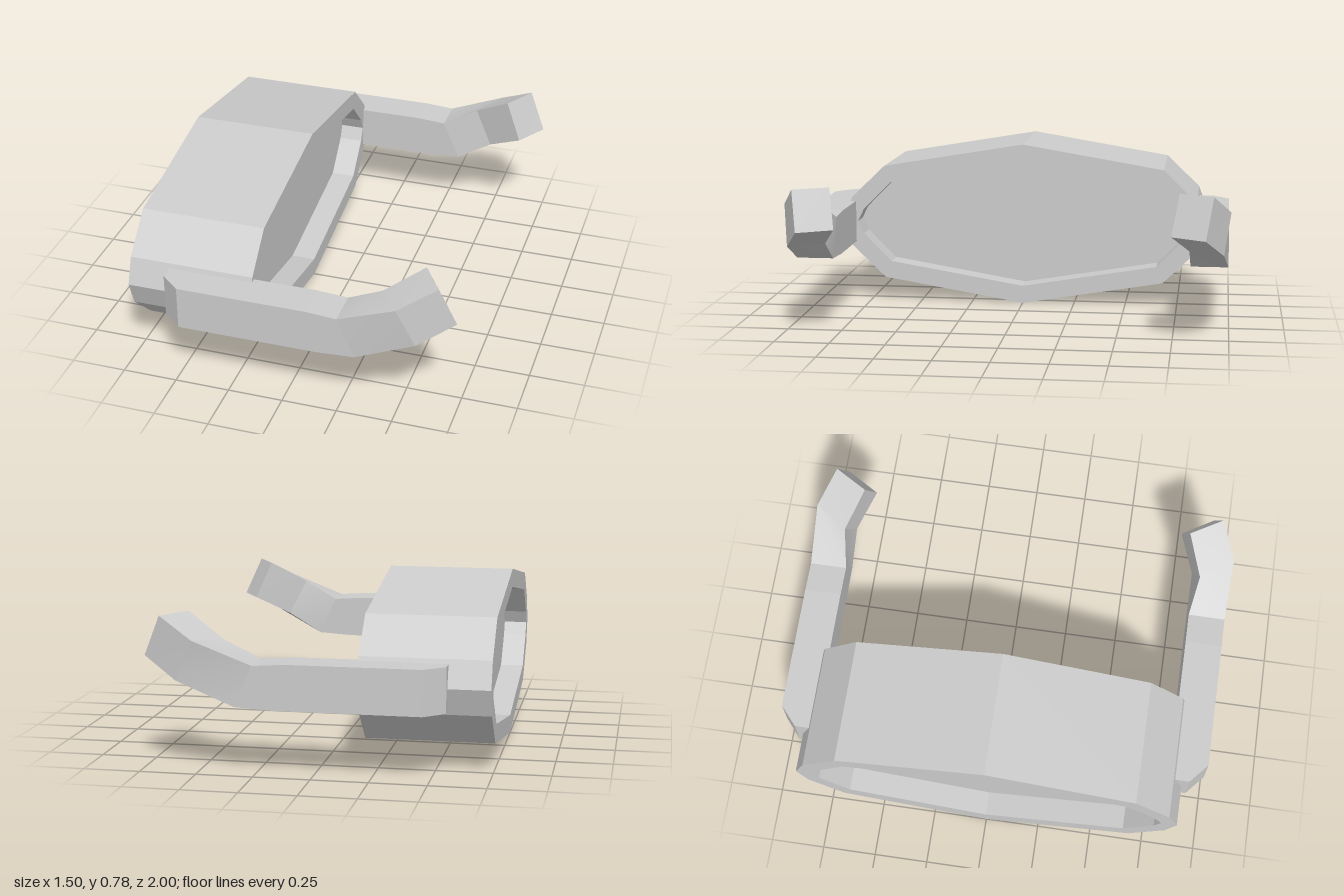
import * as THREE from 'three';

const flat = new THREE.MeshStandardMaterial({ color: 0xcccccc, flatShading: true });
const soft = new THREE.MeshStandardMaterial({ color: 0xcccccc });
const midY = 0.39;

// Closed counter-clockwise outline from one quadrant of [z, height above middle] points
function outline(quadrant, PathType) {
  const back = quadrant.slice(0, -1).reverse();
  const half = [...quadrant, ...back.map(([z, y]) => [z, -y])];
  const other = half.slice(1, -1).reverse().map(([z, y]) => [-z, y]);
  return new PathType([...half, ...other].map(([z, y]) => new THREE.Vector2(-z, midY + y)));
}

// Extrude an outline along x between two positions
function extrudeX(name, shape, x0, x1) {
  const geometry = new THREE.ExtrudeGeometry(shape, { depth: x1 - x0, bevelEnabled: false });
  geometry.rotateY(Math.PI / 2).translate(x0, 0, 0);
  const mesh = new THREE.Mesh(geometry, flat);
  mesh.name = name;
  return mesh;
}

// Loft through four-cornered sections, each quad with its own normals; side = -1 mirrors in z
function loft(name, sections, side) {
  const positions = [], indices = [];
  const quad = (...corners) => {
    const n = positions.length / 3;
    if (side < 0) corners.reverse();
    for (const [x, y, z] of corners) positions.push(x, y, z * side);
    indices.push(n, n + 1, n + 2, n, n + 2, n + 3);
  };
  for (let i = 0; i < sections.length - 1; i++) {
    const s = sections[i], t = sections[i + 1];
    for (let j = 0; j < 4; j++) {
      const k = (j + 1) % 4;
      quad(s[j], t[j], t[k], s[k]);
    }
  }
  quad(...sections[0]);
  quad(...[...sections[sections.length - 1]].reverse());
  const geometry = new THREE.BufferGeometry();
  geometry.setAttribute('position', new THREE.Float32BufferAttribute(positions, 3));
  geometry.setIndex(indices);
  geometry.computeVertexNormals();
  const mesh = new THREE.Mesh(geometry, soft);
  mesh.name = name;
  return mesh;
}

// Section with level edges: x and y at the top and bottom, inner and outer z
const section = (xt, yt, xb, yb, zi, zo) =>
  [[xt, yt, zo], [xt, yt, zi], [xb, yb, zi], [xb, yb, zo]];

export function createModel() {
  const model = new THREE.Group();
  model.name = 'model';

  // Faceted body shell, open through the middle
  const outer = [[0, 0.39], [0.68, 0.276], [0.842, 0.12], [0.887, 0]];
  const inner = [[0, 0.305], [0.65, 0.196], [0.785, 0.06], [0.815, 0]];
  const ring = outline(outer, THREE.Shape);
  ring.holes.push(outline(inner, THREE.Path));
  model.add(extrudeX('bodyShell', ring, -0.75, -0.179));

  // Core whose two faces sit recessed inside the shell
  model.add(extrudeX('recessedCore', outline(inner, THREE.Shape), -0.64, -0.29));

  // Side arms: chamfered start, straight run, then an upward and inward bend
  const armSections = [
    section(-0.565, 0.49, -0.565, 0.29, 0.823, 0.915),
    section(-0.475, 0.49, -0.475, 0.29, 0.823, 0.993),
    section(0.11, 0.49, 0.16, 0.29, 0.823, 0.993),
    section(0.25, 0.48, 0.33, 0.30, 0.823, 0.993),
    [[0.51, 0.58, 1.0], [0.412, 0.566, 0.85], [0.495, 0.40, 0.82], [0.59, 0.40, 0.972]],
    [[0.672, 0.67, 0.925], [0.582, 0.67, 0.775], [0.657, 0.49, 0.743], [0.749, 0.49, 0.893]],
  ];
  model.add(loft('frontArm', armSections, 1), loft('backArm', armSections, -1));

  return model;
}
